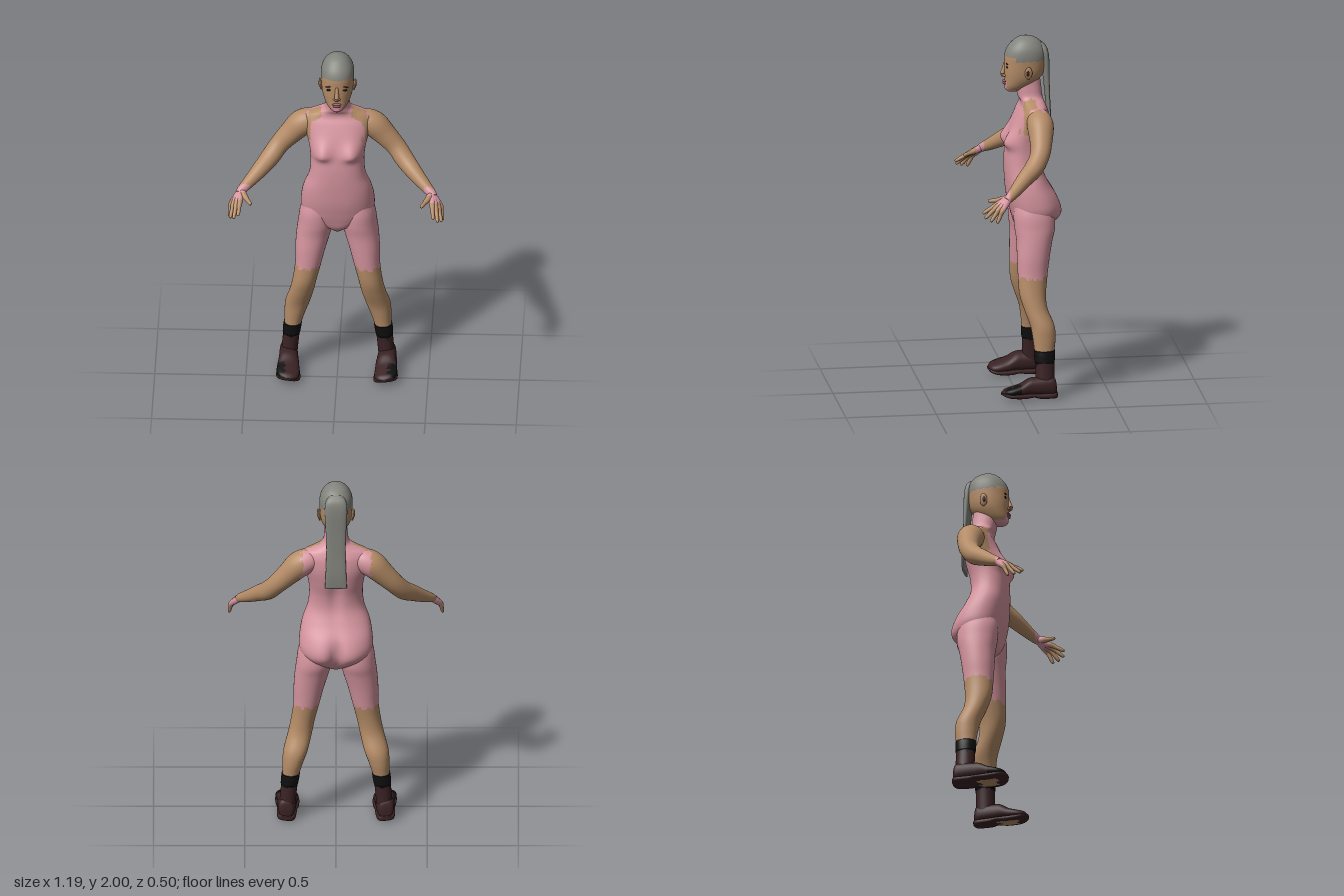
import * as THREE from 'three';

const mat = (name, color) => Object.assign(new THREE.MeshStandardMaterial({ color }), { name });
const M = {
  pink: mat('pink suit', 0xd6959f),
  skin: mat('skin', 0xb58c67),
  grey: mat('grey hair', 0x83837d),
  brown: mat('brown leather', 0x3a2224),
  black: mat('black sock', 0x0f0f0f),
  lip: mat('lip', 0xa5606a),
};
const V = (x, y, z) => new THREE.Vector3(x, y, z);
const bump = (x, c, w) => Math.exp(-(((x - c) / w) ** 2));

// Smooth interpolation through rows of numbers
function spline(rows, steps = 6) {
  const out = [], n = rows.length - 1;
  for (let k = 0; k <= n * steps; k++) {
    const i = Math.min(Math.floor(k / steps), n - 1), t = k / steps - i;
    const [a, b, c, d] = [i - 1, i, i + 1, i + 2].map(j => rows[Math.max(0, Math.min(n, j))]);
    out.push(b.map((_, q) => b[q] + 0.5 * t * (c[q] - a[q] + t * (2 * a[q] - 5 * b[q] + 4 * c[q] - d[q]
      + t * (3 * (b[q] - c[q]) + d[q] - a[q])))));
  }
  return out;
}

// Closed smooth skin over rings of points; paint picks a material per face
function skin(name, rings, paint) {
  const s = rings[0].length, pts = rings.flat(), tris = [];
  for (let i = 0; i < rings.length - 1; i++) for (let j = 0; j < s; j++) {
    const a = i * s + j, b = i * s + (j + 1) % s, c = a + s, d = b + s;
    tris.push([a, c, b], [b, c, d]);
  }
  for (const end of [0, rings.length - 1]) {
    const mid = rings[end].reduce((m, p) => m.add(p), V(0, 0, 0)).divideScalar(s);
    const m = pts.push(mid) - 1;
    for (let j = 0; j < s; j++) {
      const a = end * s + j, b = end * s + (j + 1) % s;
      tris.push(end ? [a, m, b] : [a, b, m]);
    }
  }
  // Turn all faces outward whatever the ring direction
  const volume = tris.reduce((v, [a, b, c]) => v + pts[a].dot(V(0, 0, 0).crossVectors(pts[b], pts[c])), 0);
  const sets = new Map();
  for (const [a, b, c] of tris) {
    const p = V(0, 0, 0).add(pts[a]).add(pts[b]).add(pts[c]).divideScalar(3);
    const m = paint.isMaterial ? paint : paint(p);
    if (!sets.has(m)) sets.set(m, []);
    sets.get(m).push(...(volume > 0 ? [a, b, c] : [a, c, b]));
  }
  const g = new THREE.BufferGeometry().setFromPoints(pts);
  g.setIndex([...sets.values()].flat());
  let start = 0, k = 0;
  for (const list of sets.values()) { g.addGroup(start, list.length, k++); start += list.length; }
  g.computeVertexNormals();
  const mesh = new THREE.Mesh(g, [...sets.keys()]);
  mesh.name = name;
  return mesh;
}

// Stations: [along, centre, half width, front, back], rounded-square sections
function loft(name, stations, paint, { n = 2, segs = 40, steps = 6, place = (y, x, z) => V(x, y, z), shape = p => p } = {}) {
  const pw = v => Math.sign(v) * Math.abs(v) ** (2 / n);
  return skin(name, spline(stations, steps).map(([y, c, w, f, b]) => Array.from({ length: segs }, (_, j) => {
    const a = (j / segs) * Math.PI * 2;
    return shape(place(y, c + w * pw(Math.cos(a)), (f + b) / 2 + (f - b) / 2 * pw(Math.sin(a))));
  })), paint);
}

// Round limb through stations [x, y, z, radius]
function limb(name, stations, paint, segs = 20, steps = 6) {
  const rows = spline(stations, steps), at = i => V(...rows[Math.max(0, Math.min(rows.length - 1, i))]);
  return skin(name, rows.map(([x, y, z, r], i) => {
    const t = at(i + 1).sub(at(i - 1)).normalize();
    const u = V(0, 1, 0).cross(t).normalize(), w = t.clone().cross(u);
    return Array.from({ length: segs }, (_, j) => {
      const a = (j / segs) * Math.PI * 2;
      return V(x, y, z).addScaledVector(u, r * Math.cos(a)).addScaledVector(w, r * Math.sin(a));
    });
  }), paint);
}

function ball(name, material, pos, scale, rotZ = 0) {
  const m = new THREE.Mesh(new THREE.SphereGeometry(1, 18, 12), material);
  m.name = name;
  m.position.set(...pos); m.scale.set(...scale); m.rotation.z = rotZ;
  return m;
}

export function createModel() {
  const root = new THREE.Group();
  root.name = 'figure';
  const ragged = p => 0.008 * Math.sin(p.x * 130) + 0.006 * Math.sin(p.z * 170);

  // Torso and neck, with bust, spine and seat modelled by bumps
  root.add(loft('torso', [
    [0.895, 0, 0.02, -0.04, -0.14], [0.93, 0, 0.085, -0.005, -0.19], [0.98, 0, 0.17, 0.012, -0.235],
    [1.03, 0, 0.2, 0.025, -0.247], [1.1, 0, 0.2, 0.04, -0.23], [1.18, 0, 0.185, 0.048, -0.185],
    [1.26, 0, 0.156, 0.052, -0.155], [1.34, 0, 0.147, 0.05, -0.158], [1.42, 0, 0.153, 0.038, -0.178],
    [1.5, 0, 0.172, 0.014, -0.192], [1.57, 0, 0.186, -0.015, -0.188], [1.61, 0, 0.175, -0.035, -0.175],
    [1.635, 0, 0.12, -0.035, -0.165], [1.66, 0, 0.075, -0.022, -0.158], [1.71, 0, 0.064, -0.012, -0.152], [1.76, 0, 0.06, -0.01, -0.145],
  ], p => {
    const x = Math.abs(p.x), e = ragged(p);
    const front = x > 0.145 + e && p.y > 1.47 && p.y < 1.6 && p.z > -0.13;
    const top = x > 0.085 + e && x < 0.16 && p.y > 1.585 && p.z > -0.11 && p.z < -0.04;
    return front || top ? M.skin : M.pink;
  }, {
    n: 2.35, segs: 64, shape: p => {
      const x = Math.abs(p.x);
      if (p.z > -0.05) p.z += 0.036 * bump(x, 0.085, 0.05) * bump(p.y, 1.41, p.y < 1.41 ? 0.03 : 0.065);
      else {
        p.z += 0.035 * bump(x, 0, 0.03) * bump(p.y, 1.0, 0.09) + 0.02 * bump(x, 0, 0.035) * bump(p.y, 1.4, 0.15);
        p.z -= 0.014 * bump(x, 0.09, 0.06) * bump(p.y, 1.01, 0.08);
      }
      return p;
    },
  }));

  // Head
  root.add(loft('head', [
    [1.685, 0, 0.018, 0.03, -0.01], [1.695, 0, 0.036, 0.042, -0.05], [1.72, 0, 0.058, 0.05, -0.1],
    [1.76, 0, 0.077, 0.05, -0.145], [1.8, 0, 0.086, 0.052, -0.168], [1.85, 0, 0.09, 0.052, -0.178],
    [1.895, 0, 0.091, 0.05, -0.18], [1.935, 0, 0.083, 0.034, -0.17], [1.97, 0, 0.062, 0.004, -0.142],
    [1.99, 0, 0.036, -0.025, -0.108], [2.0, 0, 0.004, -0.06, -0.07],
  ], p => {
    if (p.y > 1.892 - (p.z < 0 ? 0.02 : 0) + (p.z < 0 ? ragged(p) * 0.5 : 0)) return M.grey;
    return p.y < 1.702 || (p.y < 1.748 && Math.abs(p.x) < 0.03 && p.z > 0) ? M.pink : M.skin;
  }, { n: 2.2, segs: 48 }));
  root.add(loft('longHair', [
    [1.42, 0, 0.06, -0.188, -0.203], [1.5, 0, 0.057, -0.186, -0.206], [1.62, 0, 0.053, -0.178, -0.2],
    [1.75, 0, 0.056, -0.165, -0.196], [1.87, 0, 0.062, -0.15, -0.194], [1.93, 0, 0.055, -0.14, -0.182], [1.96, 0, 0.03, -0.12, -0.155],
  ], M.grey, { n: 2.8 }));
  root.add(limb('nose', [[0, 1.85, 0.045, 0.009], [0, 1.815, 0.054, 0.011], [0, 1.787, 0.06, 0.014], [0, 1.774, 0.056, 0.011]], M.skin, 14));
  root.add(ball('upperLip', M.lip, [0, 1.745, 0.051], [0.026, 0.006, 0.011]));
  root.add(ball('lowerLip', M.lip, [0, 1.732, 0.05], [0.022, 0.007, 0.011]));
  root.add(ball('chin', M.pink, [0, 1.708, 0.036], [0.022, 0.016, 0.014]));

  for (const s of [1, -1]) {
    const side = new THREE.Group();
    side.name = s > 0 ? 'leftSide' : 'rightSide';
    root.add(side);
    const place = (y, x, z) => V(s * x, y, z);

    // Face and ear
    side.add(ball('nostril', M.skin, [s * 0.011, 1.778, 0.052], [0.009, 0.008, 0.01]));
    side.add(ball('eye', M.black, [s * 0.044, 1.832, 0.043], [0.014, 0.006, 0.004]));
    side.add(ball('eyebrow', M.brown, [s * 0.045, 1.852, 0.043], [0.019, 0.003, 0.004], s * -0.1));
    side.add(ball('ear', M.skin, [s * 0.093, 1.807, -0.07], [0.009, 0.036, 0.021], s * -0.15));
    side.add(ball('earHollow', M.brown, [s * 0.1, 1.807, -0.066], [0.004, 0.018, 0.009], s * -0.15));

    // Leg from hip to boot shaft
    side.add(loft('leg', [
      [1.1, 0.105, 0.07, 0.0, -0.17], [1.02, 0.113, 0.092, 0.015, -0.205], [0.94, 0.119, 0.098, 0.012, -0.212],
      [0.87, 0.132, 0.094, 0.003, -0.195], [0.78, 0.148, 0.084, 0.002, -0.178], [0.68, 0.161, 0.072, -0.001, -0.164],
      [0.58, 0.18, 0.066, -0.006, -0.153], [0.5, 0.197, 0.066, -0.028, -0.158], [0.41, 0.221, 0.067, -0.06, -0.192],
      [0.34, 0.236, 0.057, -0.072, -0.198], [0.27, 0.247, 0.047, -0.08, -0.19], [0.2, 0.256, 0.045, -0.083, -0.188], [0.07, 0.268, 0.045, -0.085, -0.19],
    ], p => {
      if (p.y > 0.675 + ragged(p)) return M.pink;
      return p.y > 0.272 ? M.skin : p.y > 0.205 + ragged(p) ? M.black : M.brown;
    }, { place, n: 2.1 }));
    side.add(loft('sockCuff', [[0.21, 0.255, 0.048, -0.08, -0.19], [0.245, 0.251, 0.05, -0.078, -0.193], [0.275, 0.247, 0.05, -0.077, -0.193]],
      M.black, { place, n: 2.1 }));

    // Shoe, tipped slightly so the outer edge rides higher
    const along = (z, x, y) => V(s * x, y + (x - 0.2) * 0.12, z);
    side.add(loft('shoeUpper', [
      [-0.198, 0.275, 0.022, 0.07, 0.02], [-0.185, 0.273, 0.042, 0.115, 0.012], [-0.14, 0.27, 0.05, 0.12, 0.012],
      [-0.08, 0.268, 0.053, 0.118, 0.014], [-0.045, 0.267, 0.056, 0.112, 0.016], [0.0, 0.268, 0.061, 0.085, 0.014],
      [0.05, 0.268, 0.062, 0.068, 0.014], [0.085, 0.266, 0.048, 0.056, 0.018], [0.103, 0.264, 0.015, 0.04, 0.026],
    ], p => (p.z > 0.0 && p.z < 0.09 && Math.abs(p.x) > 0.285 + ragged(p) && p.y > 0.035 ? M.black : M.brown), { place: along, n: 2.3, segs: 32 }));
    side.add(loft('shoeSole', [
      [-0.203, 0.275, 0.02, 0.03, 0.004], [-0.185, 0.274, 0.046, 0.03, -0.003], [-0.11, 0.27, 0.054, 0.03, -0.003],
      [-0.07, 0.268, 0.055, 0.031, 0.006], [-0.02, 0.267, 0.063, 0.031, 0.0], [0.05, 0.267, 0.066, 0.032, 0.004],
      [0.09, 0.265, 0.05, 0.036, 0.016], [0.106, 0.264, 0.015, 0.036, 0.026],
    ], p => (p.y < 0.012 + (Math.abs(p.x) - 0.2) * 0.12 && Math.abs(Math.abs(p.x) - 0.265) < 0.035
      && Math.abs(p.z + 0.005) < 0.05 + ragged(p) ? M.skin : M.brown), { place: along, n: 3.2, segs: 36 }));

    // Arm
    const mirror = rows => rows.map(([x, ...r]) => [s * x, ...r]);
    side.add(limb('arm', mirror([
      [0.09, 1.56, -0.115, 0.045], [0.145, 1.555, -0.118, 0.066], [0.2, 1.53, -0.12, 0.073], [0.26, 1.47, -0.115, 0.063],
      [0.32, 1.405, -0.1, 0.054], [0.37, 1.345, -0.06, 0.052], [0.42, 1.302, -0.005, 0.045], [0.475, 1.258, 0.05, 0.035],
      [0.52, 1.225, 0.095, 0.026], [0.535, 1.212, 0.115, 0.02],
    ]), p => {
      const x = Math.abs(p.x);
      return (x < 0.19 + ragged(p) && (p.z < -0.13 || p.y < 1.47)) || p.z > 0.095 ? M.pink : M.skin;
    }, 28));

    // Palm rays merge into one hand; fingers continue them
    const rays = [
      ['indexFinger', [0.528, 1.187, 0.175], [0.535, 1.145, 0.248]],
      ['middleFinger', [0.546, 1.18, 0.173], [0.56, 1.122, 0.24]],
      ['ringFinger', [0.562, 1.172, 0.162], [0.58, 1.108, 0.21]],
      ['littleFinger', [0.574, 1.166, 0.145], [0.586, 1.1, 0.175]],
      ['thumb', [0.492, 1.205, 0.16], [0.466, 1.196, 0.209]],
    ];
    for (const [name, k, t] of rays) {
      const mix = f => k.map((v, i) => v + (t[i] - v) * f), thumb = name === 'thumb';
      const mid = k.map((v, i) => (v + [0.525, 1.222, 0.1][i]) / 2);
      side.add(limb(name, mirror([
        [0.525, 1.222, 0.1, 0.018], [...mid, 0.019], [...k, thumb ? 0.014 : 0.015],
        [...mix(0.35), 0.0115], [...mix(0.7), 0.0105], [...mix(0.94), 0.008], [...mix(1), 0.003],
      ]), p => (p.z < k[2] - 0.005 && (!thumb || p.z < 0.135) ? M.pink : M.skin), 12, 4));
    }
  }
  return root;
}
